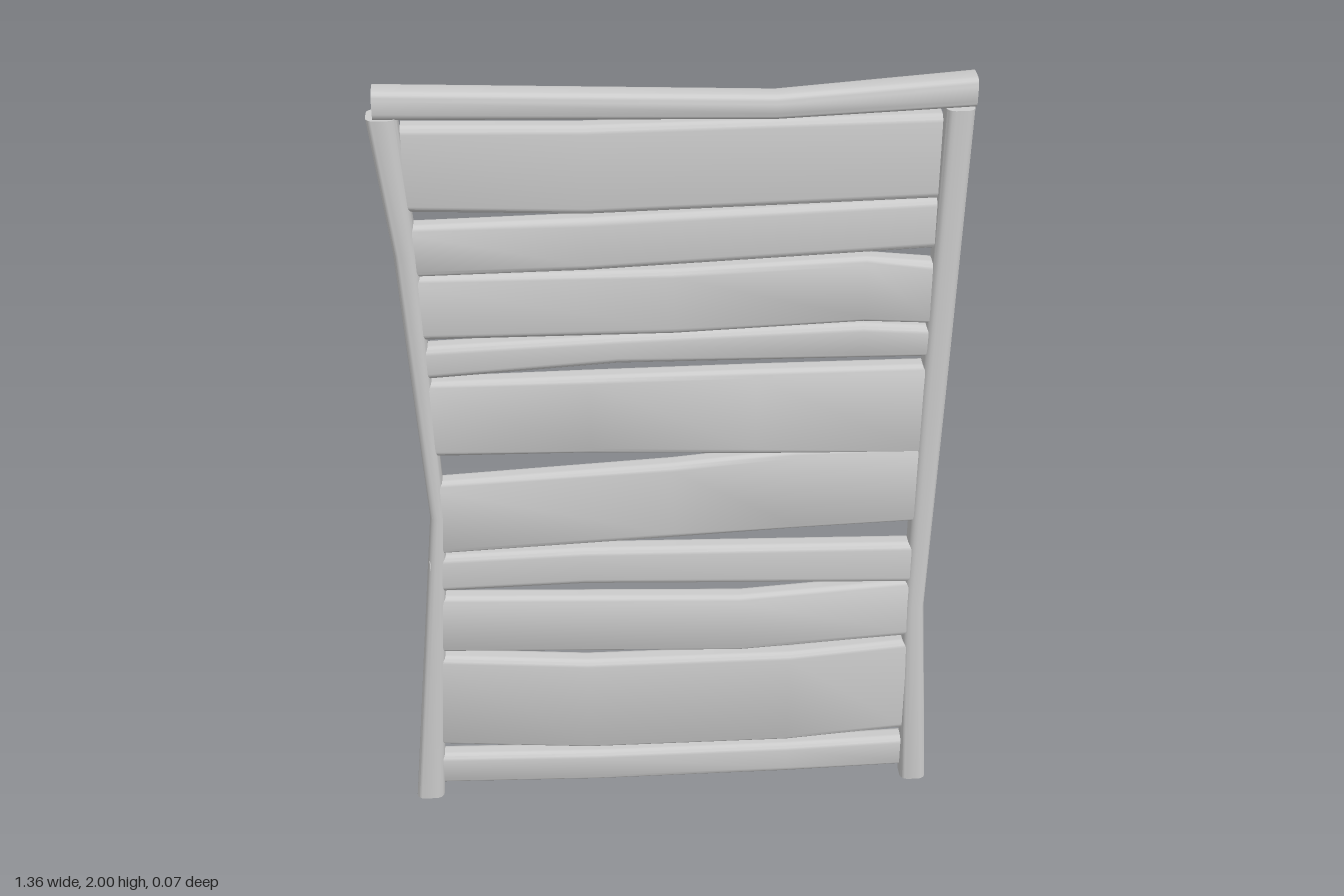
import * as THREE from 'three';
import { toCreasedNormals } from 'three/addons/utils/BufferGeometryUtils.js';

const material = new THREE.MeshStandardMaterial({ color: 0xcccccc });
const CORNER_STEPS = 4;

// Rounded-rectangle outline: [across, depth] points, counter-clockwise
function section(lo, hi, depth, radius) {
  const mid = (lo + hi) / 2, half = (hi - lo) / 2;
  const r = Math.min(radius, half * 0.95, depth * 0.95);
  const points = [];
  for (let c = 0; c < 4; c++) {
    const sx = c === 0 || c === 3 ? 1 : -1, sz = c < 2 ? 1 : -1;
    for (let i = 0; i <= CORNER_STEPS; i++) {
      const a = (c + i / CORNER_STEPS) * Math.PI / 2;
      points.push([mid + sx * (half - r) + r * Math.cos(a), sz * (depth - r) + r * Math.sin(a)]);
    }
  }
  return points;
}

// Bent timber lofted through stations [along, low edge, high edge, half depth]
function timber(name, stations, radius, vertical = false) {
  const positions = [], index = [];
  const n = 4 * (CORNER_STEPS + 1);
  const add = (t, u, z) => positions.push(...(vertical ? [u, t, z] : [t, u, z]));
  const face = (a, b, c) => index.push(...(vertical ? [a, c, b] : [a, b, c]));
  for (const [t, lo, hi, depth] of stations) {
    for (const [u, z] of section(lo, hi, depth, radius)) add(t, u, z);
  }
  for (let s = 0; s < stations.length - 1; s++) {
    for (let i = 0; i < n; i++) {
      const a = s * n + i, b = s * n + (i + 1) % n;
      face(a, b, b + n);
      face(a, b + n, a + n);
    }
  }
  // End caps
  const last = (stations.length - 1) * n;
  for (let i = 1; i < n - 1; i++) {
    face(0, i + 1, i);
    face(last, last + i, last + i + 1);
  }
  const geometry = new THREE.BufferGeometry();
  geometry.setAttribute('position', new THREE.Float32BufferAttribute(positions, 3));
  geometry.setIndex(index);
  const mesh = new THREE.Mesh(toCreasedNormals(geometry, 0.6), material);
  mesh.name = name;
  return mesh;
}

export function createModel() {
  const group = new THREE.Group();
  group.name = 'woodenPanel';

  // Side posts, pinched toward the middle
  group.add(timber('rightPost', [
    [0, -0.68, -0.608, 0.035], [0.88, -0.597, -0.558, 0.031],
    [1.6, -0.64, -0.585, 0.034], [1.935, -0.68, -0.61, 0.035],
  ], 0.02, true));
  group.add(timber('leftPost', [
    [0, 0.61, 0.678, 0.035], [0.56, 0.59, 0.643, 0.031],
    [1.2, 0.597, 0.66, 0.034], [1.925, 0.612, 0.678, 0.035],
  ], 0.02, true));

  // Sagging cap rail
  group.add(timber('topRail', [
    [-0.663, 1.933, 2, 0.036], [0.23, 1.91, 1.968, 0.032], [0.678, 1.93, 2, 0.036],
  ], 0.018));

  // Uneven horizontal slats, bottom to top: [x, low edge, high edge]
  const E = 0.605;
  const slats = [
    [[-E, 0.04, 0.135], [-0.2, 0.03, 0.125], [0.3, 0.032, 0.125], [E, 0.04, 0.135]],
    [[-E, 0.17, 0.455], [-0.22, 0.14, 0.425], [0.3, 0.14, 0.425], [E, 0.165, 0.452]],
    [[-E, 0.47, 0.64], [0.17, 0.44, 0.61], [E, 0.467, 0.64]],
    [[-E, 0.657, 0.763], [-0.22, 0.665, 0.772], [E, 0.635, 0.755]],
    [[-0.59, 0.77, 0.98], [0, 0.795, 1.012], [0.3, 0.81, 1.04], [E, 0.82, 1.04]],
    [[-0.59, 1.055, 1.26], [-0.2, 1.05, 1.265], [0.2, 1.033, 1.268], [E, 1.02, 1.268]],
    [[-E, 1.268, 1.355], [-0.13, 1.297, 1.372], [0.45, 1.292, 1.385], [E, 1.29, 1.373]],
    [[-E, 1.375, 1.54], [0, 1.373, 1.542], [0.45, 1.39, 1.56], [E, 1.38, 1.543]],
    [[-E, 1.54, 1.67], [-0.2, 1.545, 1.678], [E, 1.578, 1.705]],
    [[-E, 1.705, 1.915], [-0.2, 1.688, 1.905], [E, 1.705, 1.913]],
  ];
  slats.forEach((stations, i) => {
    const depth = 0.027 + (i % 2) * 0.0005;
    group.add(timber(`slat${i + 1}`, stations.map((s) => [...s, depth]), 0.018));
  });

  return group;
}
